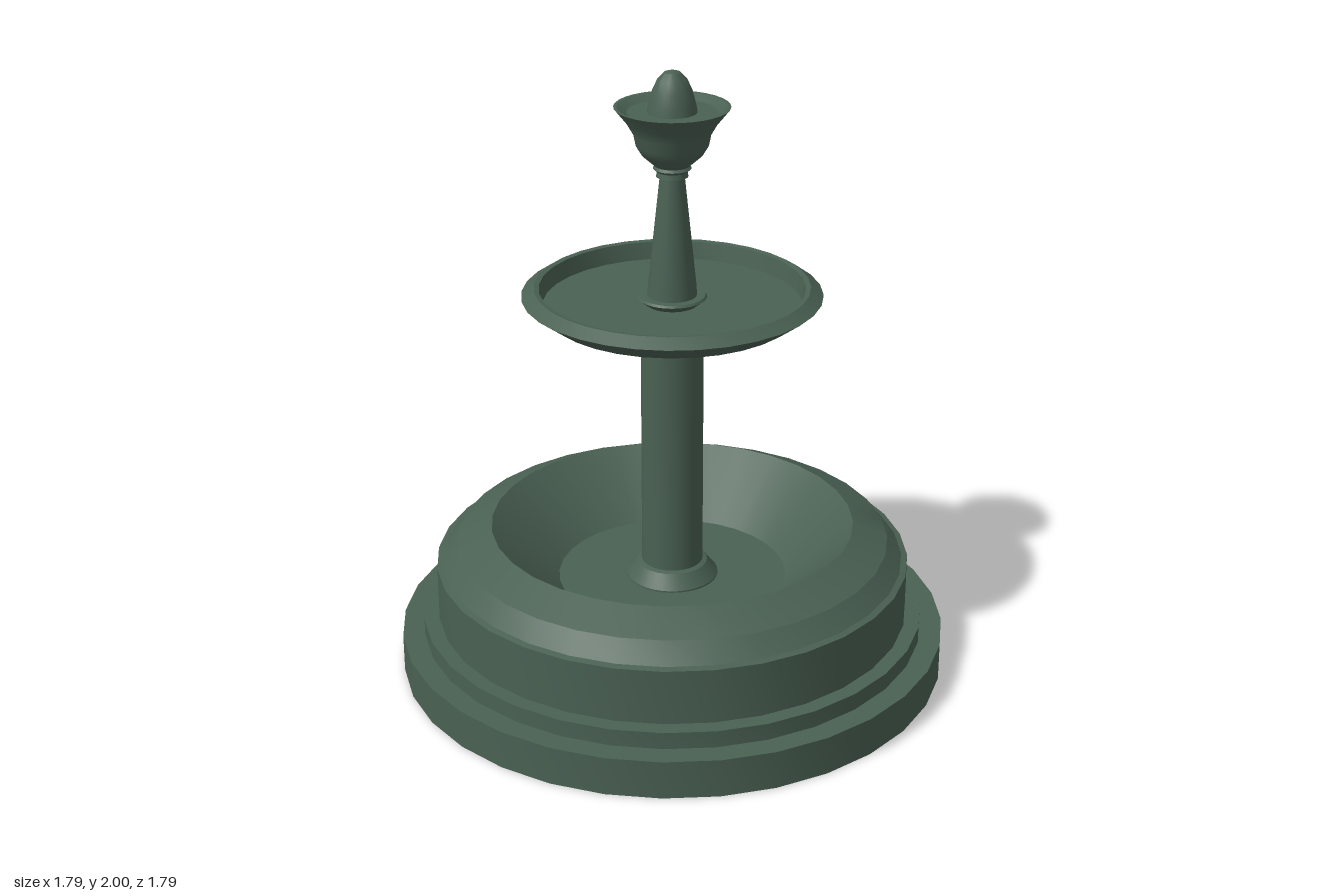
import * as THREE from 'three';
import { toCreasedNormals } from 'three/addons/utils/BufferGeometryUtils.js';

const stone = new THREE.MeshStandardMaterial({ color: 0x4a6153 });
stone.name = 'greenStone';

// Turned part: profile runs from the bottom, up the outside, to the axis
function turned(name, profile) {
  const points = profile.map(([r, y]) => new THREE.Vector2(r, y));
  const geometry = toCreasedNormals(new THREE.LatheGeometry(points, 32), 0.5);
  const mesh = new THREE.Mesh(geometry, stone);
  mesh.name = name;
  return mesh;
}

export function createModel() {
  const fountain = new THREE.Group();
  fountain.name = 'fountain';

  fountain.add(
    // Stepped base with the large sloping pool
    turned('basin', [
      [0, 0], [0.897, 0], [0.897, 0.127], [0.825, 0.127], [0.825, 0.183],
      [0.775, 0.183], [0.775, 0.365], [0.755, 0.37], [0.695, 0.43], [0.707, 0.433],
      [0.593, 0.486], [0.375, 0.29], [0, 0.29],
    ]),
    // Flared foot and column
    turned('columnFoot', [[0.15, 0.285], [0.15, 0.295], [0.115, 0.34], [0.1, 0.345]]),
    turned('column', [[0.1, 0.28], [0.1, 1.23]]),
    // Wide shallow dish
    turned('upperDish', [
      [0, 1.222], [0.4, 1.222], [0.476, 1.278], [0.436, 1.305],
      [0.42, 1.302], [0.41, 1.245], [0, 1.245],
    ]),
    // Small cup around the spindle, then the tapering spindle
    turned('spindleCup', [[0.075, 1.24], [0.11, 1.268], [0.105, 1.275], [0.07, 1.275]]),
    turned('spindle', [[0.08, 1.24], [0.076, 1.31], [0.038, 1.67]]),
    turned('collar', [
      [0.03, 1.662], [0.05, 1.664], [0.047, 1.68], [0.06, 1.69], [0.05, 1.702], [0, 1.702],
    ]),
    // Goblet with a slightly dished top
    turned('goblet', [
      [0.04, 1.69], [0.056, 1.7], [0.095, 1.735], [0.113, 1.765], [0.12, 1.8],
      [0.14, 1.835], [0.18, 1.885], [0.17, 1.885], [0.14, 1.868], [0, 1.868],
    ]),
    // Domed finial
    turned('finial', [
      [0.078, 1.865], [0.074, 1.89], [0.062, 1.935], [0.046, 1.97], [0.025, 1.992], [0, 2],
    ]),
  );
  return fountain;
}
